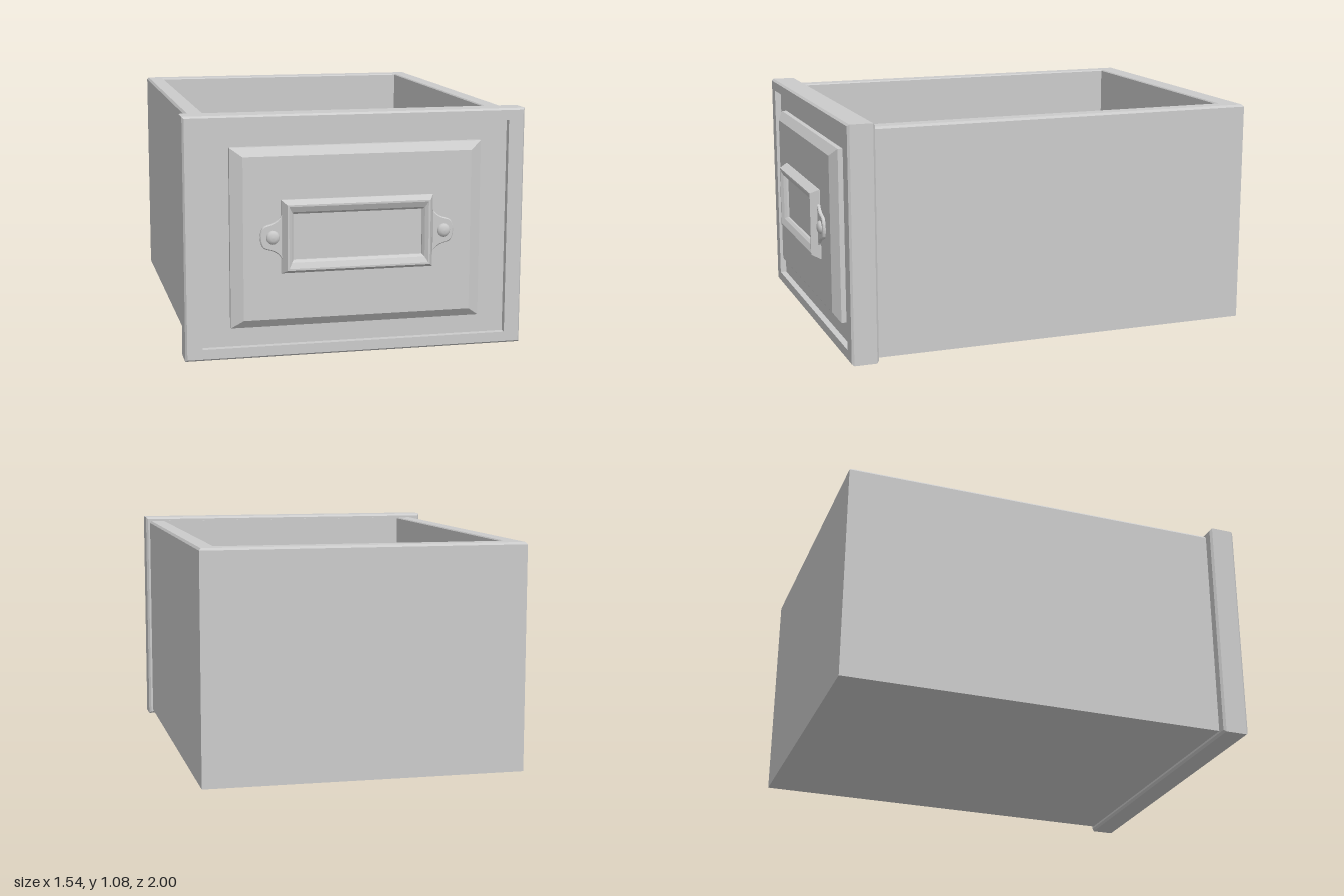
import * as THREE from 'three';

const material = new THREE.MeshStandardMaterial({ color: 0xcccccc });

// Skins a stack of rectangles [x0, x1, y0, y1, z, zAtX1 = z] and caps both ends, with hard edges.
function rectLoft(rings) {
  const pos = [];
  const loops = rings.map(([x0, x1, y0, y1, z, zr = z]) =>
    [[x0, y0, z], [x1, y0, zr], [x1, y1, zr], [x0, y1, z]]);
  const quad = (a, b, c, d) => pos.push(...a, ...b, ...c, ...a, ...c, ...d);
  for (let i = 0; i < loops.length - 1; i++) {
    for (let k = 0; k < 4; k++) {
      const n = (k + 1) % 4;
      quad(loops[i][k], loops[i][n], loops[i + 1][n], loops[i + 1][k]);
    }
  }
  const [first, last] = [loops[0], loops[loops.length - 1]];
  quad(first[3], first[2], first[1], first[0]);
  quad(...last);
  const geo = new THREE.BufferGeometry();
  geo.setAttribute('position', new THREE.Float32BufferAttribute(pos, 3));
  geo.computeVertexNormals();
  return geo;
}

// Rectangle centred on (cx, cy) at height z
const ring = (cx, cy, hw, hh, z) => [cx - hw, cx + hw, cy - hh, cy + hh, z];

function addMesh(parent, name, geo) {
  const mesh = new THREE.Mesh(geo, material);
  mesh.name = name;
  parent.add(mesh);
  return mesh;
}

export function createModel() {
  const group = new THREE.Group();
  group.name = 'drawer';

  // Open tray, lofted upwards: outer walls, eased rim, inner walls, raised floor
  const tray = rectLoft([
    [-0.72, 0.75, -0.815, 1, 0.02],
    [-0.72, 0.75, -0.815, 1, 1.05],
    [-0.712, 0.742, -0.815, 0.992, 1.06],
    [-0.645, 0.675, -0.808, 0.905, 1.06],
    [-0.64, 0.67, -0.808, 0.9, 1.055],
    [-0.64, 0.67, -0.808, 0.9, 0.4, 0.45],
  ]);
  tray.rotateX(-Math.PI / 2);
  addMesh(group, 'tray', tray);

  // Front board with eased edges and a sunken field
  const cy = 0.54;
  addMesh(group, 'frontBoard', rectLoft([
    ring(0, cy, 0.76, 0.53, 0.81),
    ring(0, cy, 0.77, 0.54, 0.82),
    ring(0, cy, 0.77, 0.54, 0.925),
    ring(0, cy, 0.762, 0.532, 0.935),
    ring(0, cy, 0.695, 0.488, 0.935),
    ring(0, cy, 0.695, 0.488, 0.905),
  ]));

  // Raised panel with bevelled border
  addMesh(group, 'raisedPanel', rectLoft([
    ring(0, cy, 0.568, 0.4, 0.9),
    ring(0, cy, 0.568, 0.4, 0.928),
    ring(0, cy, 0.515, 0.362, 0.957),
  ]));

  // Label holder frame
  const holder = new THREE.Group();
  holder.name = 'labelHolder';
  group.add(holder);
  const lx = -0.005, ly = 0.548;
  addMesh(holder, 'labelFrame', rectLoft([
    ring(lx, ly, 0.341, 0.163, 0.95),
    ring(lx, ly, 0.341, 0.163, 0.962),
    ring(lx, ly, 0.32, 0.145, 1.0),
    ring(lx, ly, 0.312, 0.137, 1.0),
    ring(lx, ly, 0.298, 0.112, 0.988),
    ring(lx, ly, 0.29, 0.102, 0.975),
    ring(lx, ly, 0.29, 0.102, 0.965),
  ]));

  // Curved mounting ear, drawn outwards along +x and mirrored by symmetry in y
  const ear = new THREE.Shape();
  ear.moveTo(0, -0.098);
  ear.quadraticCurveTo(0.02, -0.062, 0.065, -0.055);
  ear.quadraticCurveTo(0.09, -0.05, 0.094, -0.032);
  ear.quadraticCurveTo(0.106, 0, 0.094, 0.032);
  ear.quadraticCurveTo(0.09, 0.05, 0.065, 0.055);
  ear.quadraticCurveTo(0.02, 0.062, 0, 0.098);
  const earGeo = new THREE.ExtrudeGeometry(ear, {
    depth: 0.014, curveSegments: 5, bevelThickness: 0.004, bevelSize: 0.004, bevelOffset: -0.004, bevelSegments: 1,
  });

  // Domed rivet
  const rivetGeo = new THREE.LatheGeometry(
    [[0.031, 0], [0.031, 0.01], [0.026, 0.018], [0.014, 0.023], [0, 0.024]]
      .map(([r, h]) => new THREE.Vector2(r, h)), 16);
  rivetGeo.rotateX(Math.PI / 2);

  for (const side of [-1, 1]) {
    const label = side > 0 ? 'left' : 'right';
    const earMesh = addMesh(holder, label + 'Ear', earGeo);
    // Half turn about z places the ear on the other side
    earMesh.rotation.z = side > 0 ? 0 : Math.PI;
    earMesh.position.set(lx + side * 0.338, ly, 0.953);
    addMesh(holder, label + 'Rivet', rivetGeo).position.set(side * 0.386, ly, 0.963);
  }

  return group;
}
